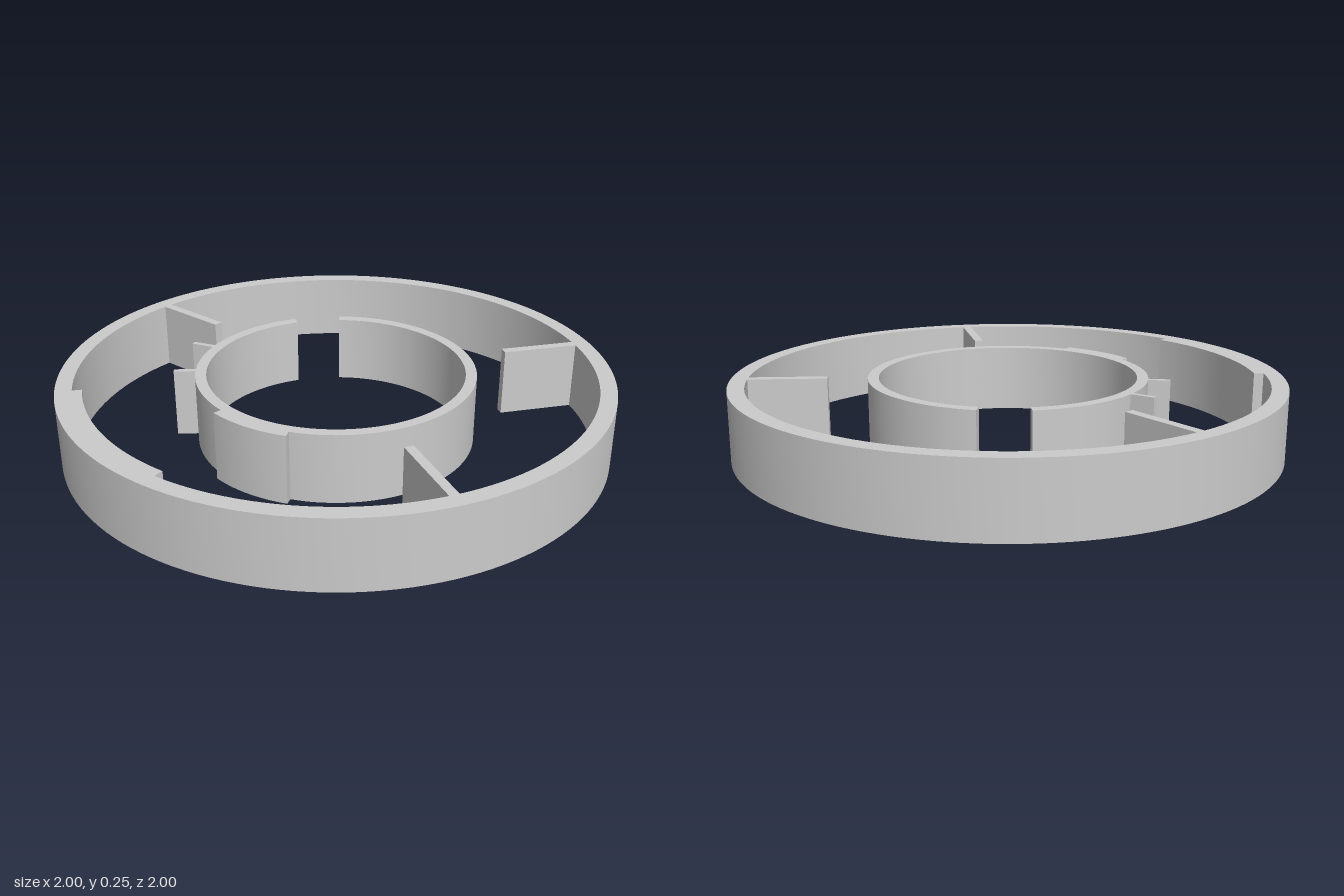
import * as THREE from 'three';
import { toCreasedNormals } from 'three/addons/utils/BufferGeometryUtils.js';

const HEIGHT = 0.255;
const material = new THREE.MeshStandardMaterial({ color: 0xcccccc });

// Arc of points; degrees run counter-clockwise seen from above, 90 being the back
function arc(radius, from, to) {
  const steps = Math.max(2, Math.ceil(Math.abs(to - from) / 2.5));
  return Array.from({ length: steps + 1 }, (_, i) => {
    const a = THREE.MathUtils.degToRad(from + ((to - from) * i) / steps);
    return new THREE.Vector2(radius * Math.cos(a), radius * Math.sin(a));
  });
}

// Raise a plan outline to the full height, smooth round the curves, sharp at the steps
function raise(name, outline, hole) {
  const shape = new THREE.Shape(outline);
  if (hole) shape.holes.push(new THREE.Path(hole));
  let geometry = new THREE.ExtrudeGeometry(shape, { depth: HEIGHT, bevelEnabled: false });
  geometry.rotateX(-Math.PI / 2);
  geometry = toCreasedNormals(geometry, 0.4);
  const mesh = new THREE.Mesh(geometry, material);
  mesh.name = name;
  return mesh;
}

// Upright plate between two plan points [x, z]
function fin(name, [x1, z1], [x2, z2], thickness) {
  const length = Math.hypot(x2 - x1, z2 - z1);
  const mesh = new THREE.Mesh(new THREE.BoxGeometry(length, HEIGHT, thickness), material);
  mesh.position.set((x1 + x2) / 2, HEIGHT / 2, (z1 + z2) / 2);
  mesh.rotation.y = -Math.atan2(z2 - z1, x2 - x1);
  mesh.name = name;
  return mesh;
}

export function createModel() {
  const group = new THREE.Group();
  group.name = 'concentricRings';

  // Outer ring, its wall thickened inwards over one sector
  group.add(raise('outerRing',
    arc(1, 0, 360).slice(0, -1),
    [...arc(0.905, 183, 226.5), ...arc(0.94, 226.5, 543)].slice(0, -1).concat(arc(0.94, 542.9, 543).slice(-1))));

  // Inner ring, open at the back, thickened outwards over one sector
  group.add(raise('innerRing', [
    ...arc(0.51, 101, 212.5),
    ...arc(0.54, 212.5, 244.5),
    ...arc(0.51, 244.5, 440.5),
    ...arc(0.47, 440.5, 101),
  ]));

  // Plates pointing inwards from the outer ring
  group.add(
    fin('outerFinBack', [-0.62, -0.74], [-0.405, -0.495], 0.034),
    fin('outerFinLeft', [0.96, -0.102], [0.65, -0.073], 0.034),
    fin('outerFinFront', [0.221, 0.93], [0.145, 0.61], 0.034),
  );

  // Short pins pointing outwards from the inner ring
  group.add(
    fin('innerFinBack', [-0.42, -0.264], [-0.507, -0.314], 0.019),
    fin('innerFinRight', [-0.49, -0.059], [-0.585, -0.069], 0.019),
  );
  return group;
}
